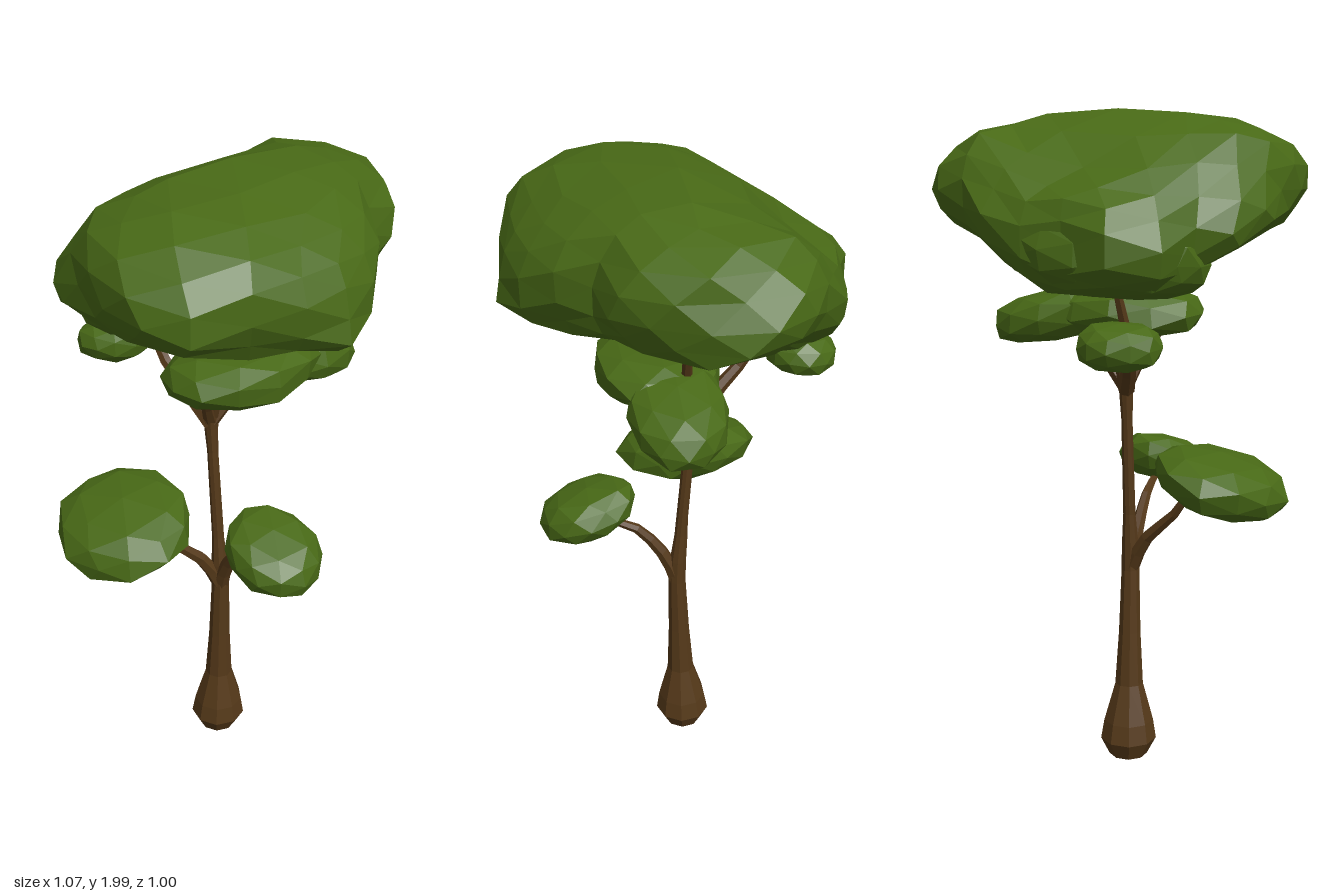
import * as THREE from 'three';

const { lerp, smoothstep } = THREE.MathUtils;
const bark = new THREE.MeshStandardMaterial({ color: 0x553919, flatShading: true });
const leaf = new THREE.MeshStandardMaterial({ color: 0x486916, flatShading: true });

// Sample a closed list of evenly spaced radii at an angle
function sampleRadius(radii, angle) {
  const n = radii.length;
  const t = ((angle / (2 * Math.PI) + 1) % 1) * n;
  const i = Math.floor(t);
  return lerp(radii[i % n], radii[(i + 1) % n], t - i);
}

// Faceted leaf clump: an icosphere shaped by a plan outline, upper and lower
// height, a lift over the plan, a hollow underside and a gentle ripple
function foliage(name, { at, size, up, down, lift, hollow = 0, radii = [1], detail = 1, ripple = 0.05, seed }) {
  const geo = new THREE.IcosahedronGeometry(1, detail);
  const pos = geo.attributes.position;
  const d = new THREE.Vector3();
  for (let i = 0; i < pos.count; i++) {
    d.fromBufferAttribute(pos, i).normalize();
    const flat = Math.hypot(d.x, d.z);
    const angle = Math.atan2(d.z, d.x);
    const wave = 1 + ripple * Math.sin(7 * d.x + seed) * Math.cos(6 * d.z + 5 * d.y + seed * 2);
    const reach = flat < 1e-4 ? 0 : Math.pow(flat, 0.72) * sampleRadius(radii, angle) * wave;
    const x = Math.cos(angle) * reach * size[0];
    const z = Math.sin(angle) * reach * size[1];
    const y = Math.sign(d.y) * Math.pow(Math.abs(d.y), 0.87) * (d.y > 0 ? up : down) * wave;
    pos.setXYZ(i, x, y + lift(x, z) + hollow * Math.pow(Math.max(-d.y, 0), 4), z);
  }
  geo.computeVertexNormals();
  const mesh = new THREE.Mesh(geo, leaf);
  mesh.name = name;
  mesh.position.set(...at);
  return mesh;
}

// Straight slope along x and z
const slope = (sx, sz) => (x, z) => x * sx + z * sz;

// Tapered limb along a curve
function limb(name, points, r0, r1) {
  const curve = new THREE.CatmullRomCurve3(points.map(p => new THREE.Vector3(...p)));
  const steps = 6, sides = 6;
  const geo = new THREE.TubeGeometry(curve, steps, 1, sides);
  const pos = geo.attributes.position;
  const v = new THREE.Vector3();
  for (let i = 0; i < pos.count; i++) {
    const u = Math.floor(i / (sides + 1)) / steps;
    const c = curve.getPointAt(u);
    v.fromBufferAttribute(pos, i).sub(c).multiplyScalar(lerp(r0, r1, u)).add(c);
    pos.setXYZ(i, v.x, v.y, v.z);
  }
  const mesh = new THREE.Mesh(geo, bark);
  mesh.name = name;
  return mesh;
}

// Trunk: lathe profile with a swollen foot, leaning slightly in z
function trunk() {
  const profile = [[0, 0.008], [0.06, 0.015], [0.088, 0.07], [0.078, 0.13], [0.044, 0.25], [0.034, 0.42],
    [0.028, 0.62], [0.026, 0.7], [0.019, 0.8], [0.017, 1.1], [0.021, 1.18], [0.03, 1.25], [0, 1.27]];
  const geo = new THREE.LatheGeometry(profile.map(p => new THREE.Vector2(...p)), 9);
  const pos = geo.attributes.position;
  for (let i = 0; i < pos.count; i++) {
    const y = pos.getY(i);
    const lean = y < 0.65 ? -0.02 + 0.02 * y / 0.65 : -0.045 * (y - 0.65) / 0.55;
    pos.setXYZ(i, pos.getX(i) - 0.04, y, pos.getZ(i) + lean);
  }
  const mesh = new THREE.Mesh(geo, bark);
  mesh.name = 'trunk';
  return mesh;
}

// Crown lift: the back falls away, and the front tip dips near the middle
function crownLift(x, z) {
  const back = smoothstep(-z, 0, 0.38) * (1 - smoothstep(x, 0.05, 0.4));
  const front = smoothstep(z, 0.15, 0.5) * smoothstep(x, -0.35, 0);
  return -0.15 * back - 0.05 * front;
}

export function createModel() {
  const tree = new THREE.Group();
  tree.name = 'tree';
  tree.add(trunk());

  // Branches
  tree.add(
    limb('lowerRightBranch', [[-0.04, 0.62, 0], [-0.09, 0.72, -0.02], [-0.2, 0.83, -0.05], [-0.26, 0.93, -0.07]], 0.026, 0.01),
    limb('lowerFrontBranch', [[-0.04, 0.62, 0], [-0.045, 0.72, 0.04], [-0.05, 0.84, 0.14], [-0.05, 0.87, 0.24]], 0.026, 0.01),
    limb('leader', [[-0.04, 1.2, -0.045], [-0.045, 1.38, 0.01], [-0.05, 1.55, 0.06], [-0.04, 1.7, 0.04]], 0.02, 0.012),
    limb('leaderFork', [[-0.05, 1.53, 0.06], [-0.1, 1.6, 0.12], [-0.24, 1.69, 0.23]], 0.015, 0.009),
    limb('upperRightBranch', [[-0.04, 1.2, -0.045], [-0.08, 1.29, -0.01], [-0.13, 1.38, 0.06]], 0.022, 0.01),
    limb('upperLeftBranch', [[-0.04, 1.2, -0.045], [0.05, 1.31, -0.02], [0.15, 1.45, 0], [0.2, 1.59, 0], [0.28, 1.67, -0.02]], 0.024, 0.009),
    limb('upperBackBranch', [[-0.04, 1.19, -0.045], [-0.07, 1.27, -0.11], [-0.1, 1.4, -0.23], [-0.08, 1.56, -0.28]], 0.026, 0.01),
    limb('backTwig', [[-0.1, 1.4, -0.22], [-0.12, 1.41, -0.28], [-0.13, 1.38, -0.36]], 0.012, 0.008)
  );

  // Broad crown, with a lower lobe tucked under its back
  tree.add(
    foliage('crown', {
      at: [0, 1.77, 0], size: [1, 1], up: 0.225, down: 0.185, hollow: 0.06, detail: 3, ripple: 0.04, seed: 1.3, lift: crownLift,
      radii: [0.53, 0.465, 0.37, 0.435, 0.495, 0.48, 0.58, 0.55, 0.49, 0.48, 0.44, 0.55, 0.47, 0.455, 0.47, 0.53]
    }),
    foliage('crownBackLobe', { at: [-0.04, 1.61, -0.24], size: [0.3, 0.235], up: 0.13, down: 0.12, lift: slope(0.12, 0), detail: 2, seed: 0.4 })
  );

  // Small clumps on the side branches
  tree.add(
    foliage('middleFrontFoliage', { at: [-0.01, 1.42, 0.06], size: [0.24, 0.185], up: 0.078, down: 0.08, lift: slope(0.04, 0.03), seed: 2 }),
    foliage('middleLeftFoliage', { at: [0.215, 1.39, 0.035], size: [0.2, 0.14], up: 0.085, down: 0.075, lift: slope(-0.18, 0), seed: 3 }),
    foliage('middleBackFoliage', { at: [-0.14, 1.37, -0.39], size: [0.12, 0.11], up: 0.063, down: 0.063, lift: slope(0, 0.08), seed: 4 }),
    foliage('lowerRightFoliage', { at: [-0.34, 0.94, -0.075], size: [0.195, 0.22], up: 0.088, down: 0.087, lift: slope(0.2, -0.03), seed: 5 }),
    foliage('lowerFrontFoliage', { at: [-0.055, 0.915, 0.275], size: [0.138, 0.15], up: 0.078, down: 0.075, lift: slope(0.05, -0.25), seed: 6 })
  );
  return tree;
}
